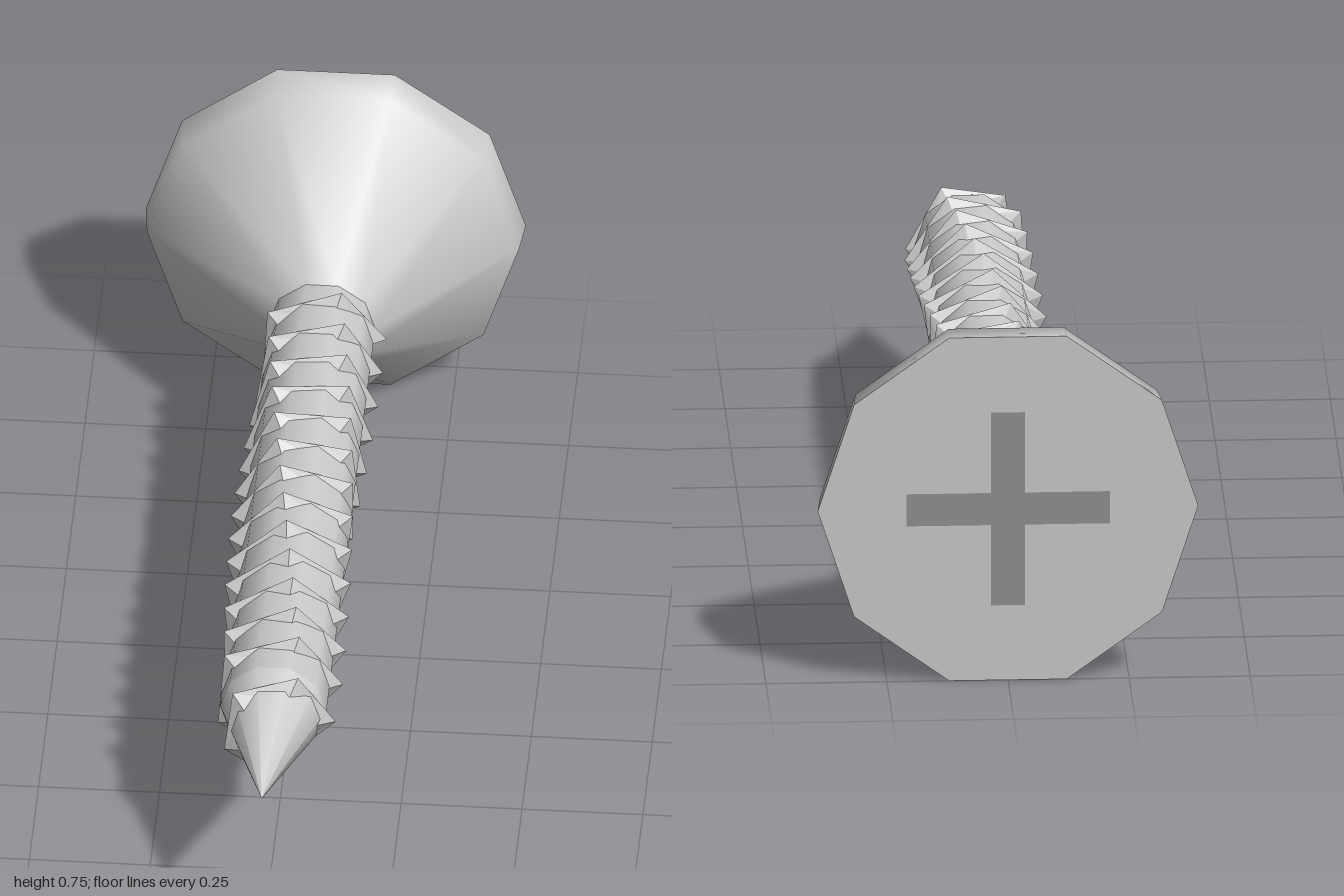
import * as THREE from 'three';

const SIDES = 10;
const AXIS_Y = 0.375; // height of the screw's axis
const SHANK_R = 0.11, CONE_Z = 0.69;

export function createModel() {
  const group = new THREE.Group();
  const grey = new THREE.MeshStandardMaterial({ color: 0xcccccc });
  const flatGrey = new THREE.MeshStandardMaterial({ color: 0xcccccc, flatShading: true });
  const dark = new THREE.MeshStandardMaterial({ color: 0x929292 });

  const add = (name, geometry, material = grey) => {
    const mesh = new THREE.Mesh(geometry, material);
    mesh.name = name;
    group.add(mesh);
    return mesh;
  };
  // Turned part along z, from [radius, z] points in rising z
  const turned = (name, points) => add(name, new THREE.LatheGeometry(
    points.map(([r, z]) => new THREE.Vector2(r, z)), SIDES, Math.PI / 2).rotateX(Math.PI / 2));

  // Countersunk head, with a flat back
  turned('head', [[0.393, -1], [0.385, -0.92], [0.105, -0.62]]);
  add('headFace', new THREE.CircleGeometry(0.393, SIDES).rotateY(Math.PI).translate(0, 0, -1));

  // Cross slot on the back of the head
  const a = 0.035, b = 0.21;
  const cross = new THREE.Shape([
    [a, a], [a, b], [-a, b], [-a, a], [-b, a], [-b, -a],
    [-a, -a], [-a, -b], [a, -b], [a, -a], [b, -a], [b, a],
  ].map(([x, y]) => new THREE.Vector2(x, y)));
  add('crossSlot', new THREE.ShapeGeometry(cross).rotateY(Math.PI).translate(0, 0, -1.002), dark);

  // Shank and pointed tip
  turned('shank', [[SHANK_R, -0.63], [SHANK_R, CONE_Z]]);
  turned('tip', [[SHANK_R, CONE_Z], [0, 1]]);

  add('thread', threadGeometry(), flatGrey);

  group.position.y = AXIS_Y;
  const model = new THREE.Group();
  model.name = 'screw';
  model.add(group);
  return model;
}

// Coarse helix with a triangular section, shrinking along the tip
function threadGeometry() {
  const steps = 70, step = THREE.MathUtils.degToRad(70.8), pitch = 0.0985, halfWidth = 0.022;
  const sections = [];
  for (let i = 0; i <= steps; i++) {
    const angle = i * step, turns = angle / (2 * Math.PI);
    const z = -0.585 + pitch * turns + 0.028 * Math.max(0, turns - 12.5);
    const surface = SHANK_R * Math.min(1, (1 - z) / (1 - CONE_Z));
    const root = surface - 0.015, crest = root + 0.042;
    const at = (r, dz) => [r * Math.cos(angle), r * Math.sin(angle), z + dz];
    sections.push([at(root, -halfWidth), at(crest, -0.004), at(root, halfWidth)]);
  }
  const positions = [];
  const tri = (...corners) => corners.forEach((p) => positions.push(...p));
  const quad = (p, q, r, s) => { tri(p, q, r); tri(p, r, s); };
  for (let i = 0; i < steps; i++) {
    const [a0, c0, b0] = sections[i], [a1, c1, b1] = sections[i + 1];
    quad(a0, a1, c1, c0); // rear flank
    quad(b0, c0, c1, b1); // front flank
  }
  const [a, c, b] = sections[0], [d, f, e] = sections[steps];
  tri(a, c, b);
  tri(d, e, f);
  const geometry = new THREE.BufferGeometry();
  geometry.setAttribute('position', new THREE.Float32BufferAttribute(positions, 3));
  geometry.computeVertexNormals();
  return geometry;
}
